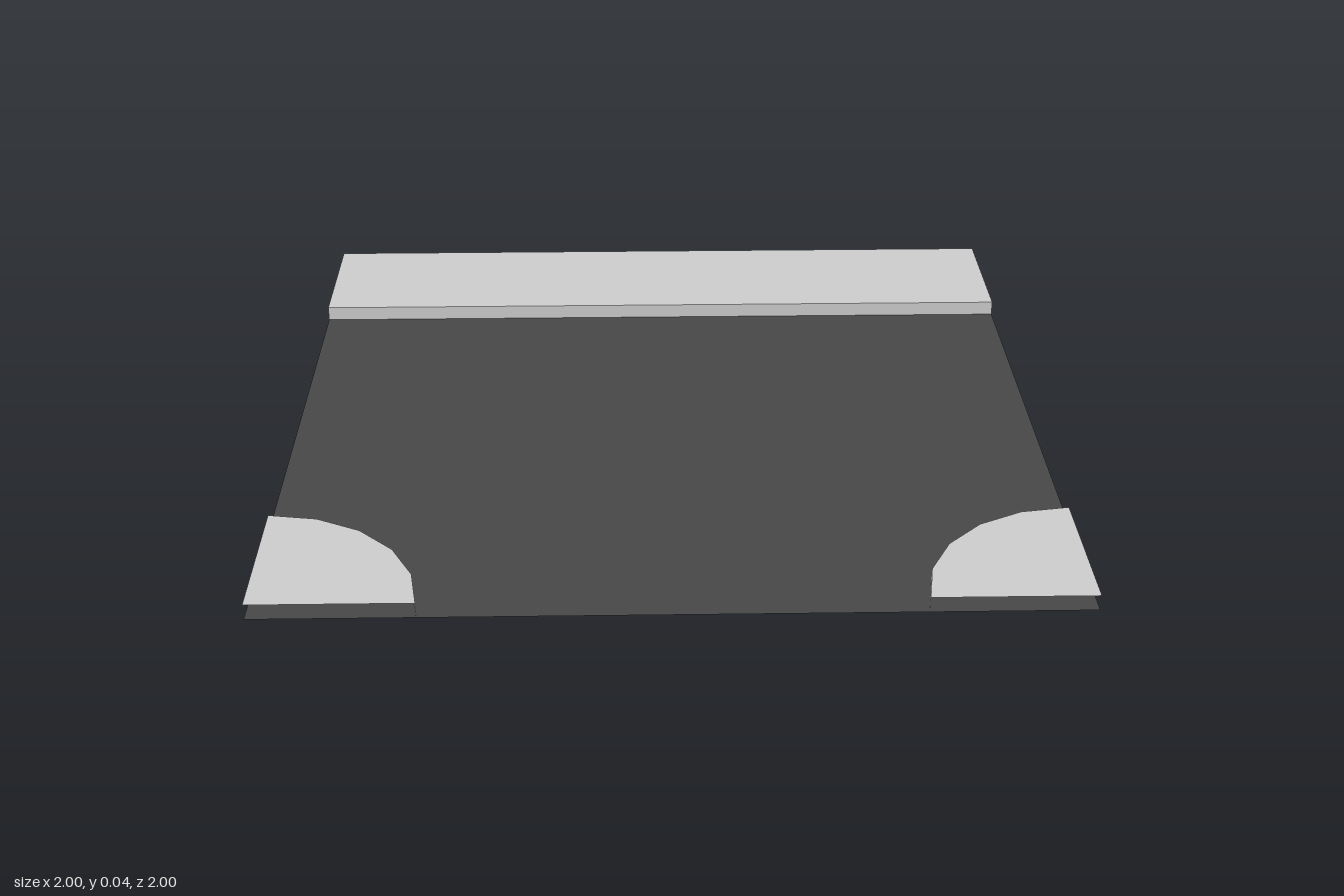
import * as THREE from 'three';

const HEIGHT = 0.04; // kerb height
const WIDTH = 0.4;   // pavement width and corner radius

export function createModel() {
  const style = { side: THREE.DoubleSide, flatShading: true };
  const asphalt = new THREE.MeshStandardMaterial({ name: 'asphalt', color: 0x474747, ...style });
  const concrete = new THREE.MeshStandardMaterial({ name: 'concrete', color: 0xcccccc, ...style });

  const model = new THREE.Group();
  model.name = 'roadJunctionTile';
  const add = (parent, name, geometry, material, x, y, z) => {
    const mesh = new THREE.Mesh(geometry, material);
    mesh.name = name;
    mesh.position.set(x, y, z);
    parent.add(mesh);
  };

  // Road surface under the whole tile
  add(model, 'road', new THREE.PlaneGeometry(2, 2).rotateX(-Math.PI / 2), asphalt, 0, 0, 0);

  // Straight pavement along the back: open at the tile edges
  const back = new THREE.Group();
  back.name = 'backPavement';
  add(back, 'pavementTop', new THREE.PlaneGeometry(2, WIDTH).rotateX(-Math.PI / 2), concrete, 0, HEIGHT, -1 + WIDTH / 2);
  add(back, 'kerb', new THREE.PlaneGeometry(2, HEIGHT), concrete, 0, HEIGHT / 2, -1 + WIDTH);
  model.add(back);

  // Quarter-round pavements in the two front corners
  const quarter = Math.PI / 2;
  for (const side of [1, -1]) {
    const corner = new THREE.Group();
    corner.name = side > 0 ? 'leftCornerPavement' : 'rightCornerPavement';
    const top = new THREE.CircleGeometry(WIDTH, 5, side > 0 ? quarter : 0, quarter).rotateX(-quarter);
    const kerb = new THREE.CylinderGeometry(WIDTH, WIDTH, HEIGHT, 5, 1, true, side > 0 ? Math.PI : quarter, quarter);
    add(corner, 'pavementTop', top, concrete, side, HEIGHT, 1);
    add(corner, 'curvedKerb', kerb, concrete, side, HEIGHT / 2, 1);
    model.add(corner);
  }

  return model;
}
